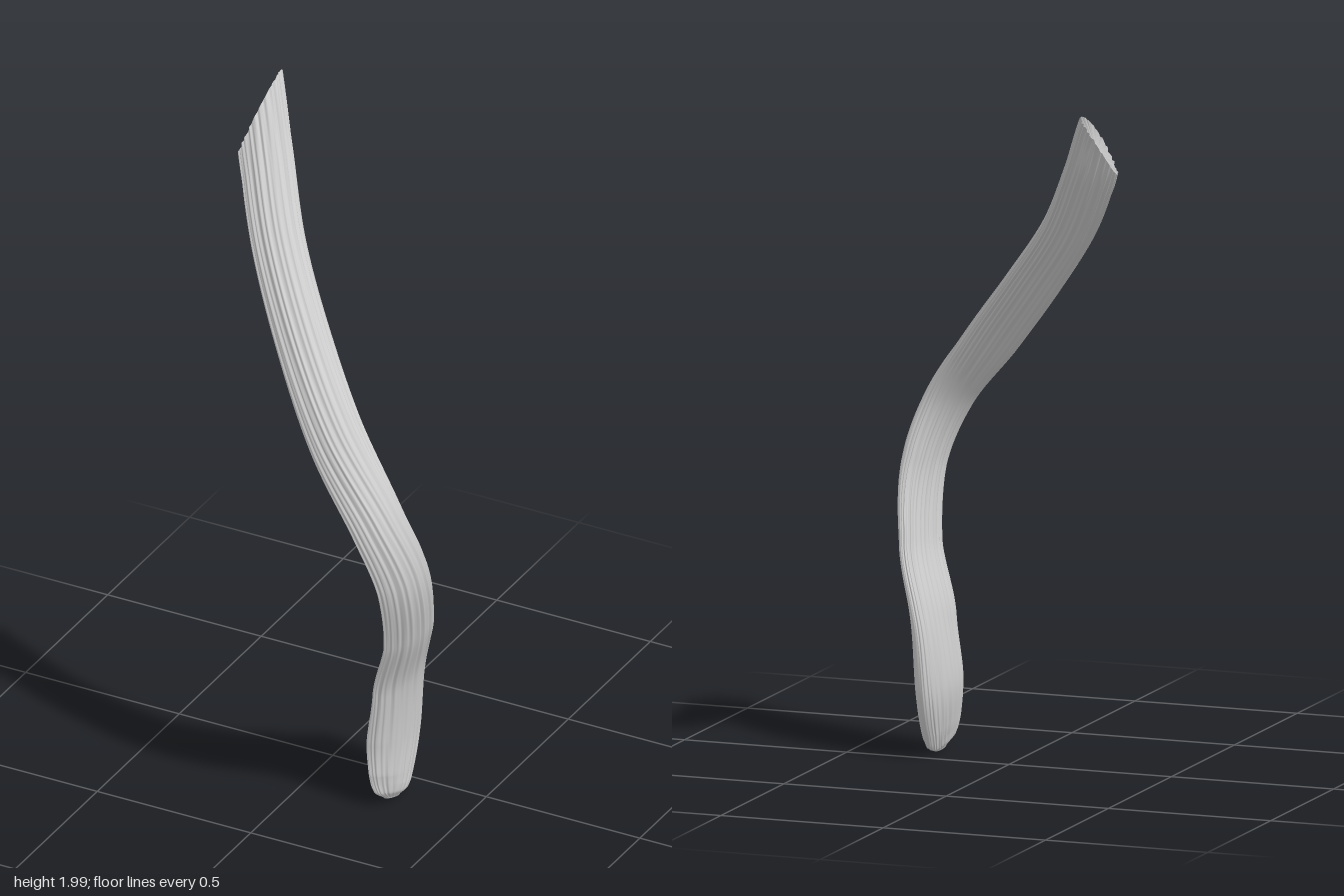
import * as THREE from 'three';

// Stations from top to bottom: centre, width direction, half width, half thickness
const stations = [
  [[-0.385, 1.893, -0.277], [0.84, 0.2, -0.5], 0.076, 0.03],
  [[-0.325, 1.78, -0.205], [0.84, 0.2, -0.5], 0.077, 0.04],
  [[-0.21, 1.6, -0.065], [0.84, 0.2, -0.5], 0.077, 0.044],
  [[-0.04, 1.4, 0.095], [0.8, 0.25, -0.55], 0.08, 0.046],
  [[0.137, 1.2, 0.225], [0.65, 0.3, -0.7], 0.083, 0.048],
  [[0.295, 1.0, 0.28], [0.4, 0.15, -0.9], 0.086, 0.047],
  [[0.357, 0.82, 0.245], [0.2, 0, -1], 0.098, 0.042],
  [[0.34, 0.6, 0.163], [0.08, 0, -1], 0.113, 0.032],
  [[0.277, 0.4, 0.1], [0.05, 0, -1], 0.13, 0.034],
  [[0.25, 0.2, 0.088], [0.05, 0, -1], 0.129, 0.043],
  [[0.255, 0.08, 0.115], [0.05, 0, -1], 0.1, 0.037],
  [[0.262, 0.025, 0.13], [0.05, 0, -1], 0.072, 0.028],
  [[0.265, 0.004, 0.135], [0.05, 0, -1], 0.035, 0.014],
];
const ROWS = 150, SIDES = 144;

const curveOf = (pick) => new THREE.CatmullRomCurve3(
  stations.map((s) => new THREE.Vector3(...pick(s))), false, 'centripetal');

function geometryFrom(positions, index) {
  const g = new THREE.BufferGeometry();
  g.setAttribute('position', new THREE.Float32BufferAttribute(positions, 3));
  g.setIndex(index);
  g.computeVertexNormals();
  return g;
}

// Shallow grooves that run lengthwise and wander slightly
function fibre(angle, t) {
  const drift = 0.25 * Math.sin(7 * t + 2 * angle);
  return 0.0022 * Math.sin(26 * angle + 5 * drift)
    + 0.0012 * Math.sin(41 * angle + 6 * t + Math.sin(9 * t))
    + 0.0012 * Math.sin(11 * angle - 4 * t);
}

export function createModel() {
  const path = curveOf((s) => s[0]);
  const across = curveOf((s) => s[1]);
  // Sizes use straight interpolation between stations, eased
  const sizeAt = (t, k) => {
    const f = t * (stations.length - 1);
    const i = Math.min(Math.floor(f), stations.length - 2);
    const at = (n) => stations[THREE.MathUtils.clamp(n, 0, stations.length - 1)][k];
    const u = f - i, p0 = at(i - 1), p1 = at(i), p2 = at(i + 1), p3 = at(i + 2);
    return p1 + 0.5 * u * (p2 - p0 + u * (2 * p0 - 5 * p1 + 4 * p2 - p3
      + u * (3 * (p1 - p2) + p3 - p0)));
  };

  // Twisting strap, with an oblique cut at the top
  const pos = [], index = [];
  for (let i = 0; i <= ROWS; i++) {
    const t = i / ROWS;
    const c = path.getPoint(t), d = path.getTangent(t);
    const w = across.getPoint(t);
    w.addScaledVector(d, -w.dot(d)).normalize();
    const n = new THREE.Vector3().crossVectors(d, w);
    const a = sizeAt(t, 2), b = sizeAt(t, 3);
    const slant = 0.11 * Math.max(0, 1 - t / 0.3) ** 2;
    const fade = Math.min(1, (1 - t) / 0.12);
    for (let j = 0; j < SIDES; j++) {
      const q = (j / SIDES) * Math.PI * 2, cos = Math.cos(q), sin = Math.sin(q);
      const r = fibre(q, t) * fade;
      const bend = 0.018 * (0.5 - cos * cos) * fade;
      const p = c.clone()
        .addScaledVector(w, a * cos + r * cos)
        .addScaledVector(n, b * sin + r * sin + bend)
        .addScaledVector(d, -slant * cos);
      pos.push(p.x, p.y, p.z);
      if (i < ROWS) {
        const k = (j + 1) % SIDES, u = i * SIDES, v = u + SIDES;
        index.push(u + j, u + k, v + j, u + k, v + k, v + j);
      }
    }
  }
  // Rounded lower tip
  const last = ROWS * SIDES, tip = pos.length / 3;
  pos.push(0.265, 0, 0.135);
  for (let j = 0; j < SIDES; j++) index.push(last + j, last + (j + 1) % SIDES, tip);

  // Hollow face of the upper cut
  const capPos = pos.slice(0, SIDES * 3), capIndex = [];
  const hollow = path.getPoint(0).addScaledVector(path.getTangent(0), 0.035);
  capPos.push(hollow.x, hollow.y, hollow.z);
  for (let j = 0; j < SIDES; j++) capIndex.push(SIDES, (j + 1) % SIDES, j);

  const material = new THREE.MeshStandardMaterial({ color: 0xcccccc });
  const group = new THREE.Group();
  group.name = 'fibrousStrap';
  const strap = new THREE.Mesh(geometryFrom(pos, index), material);
  strap.name = 'strap';
  const cut = new THREE.Mesh(geometryFrom(capPos, capIndex), material);
  cut.name = 'upperCutFace';
  group.add(strap, cut);
  return group;
}
